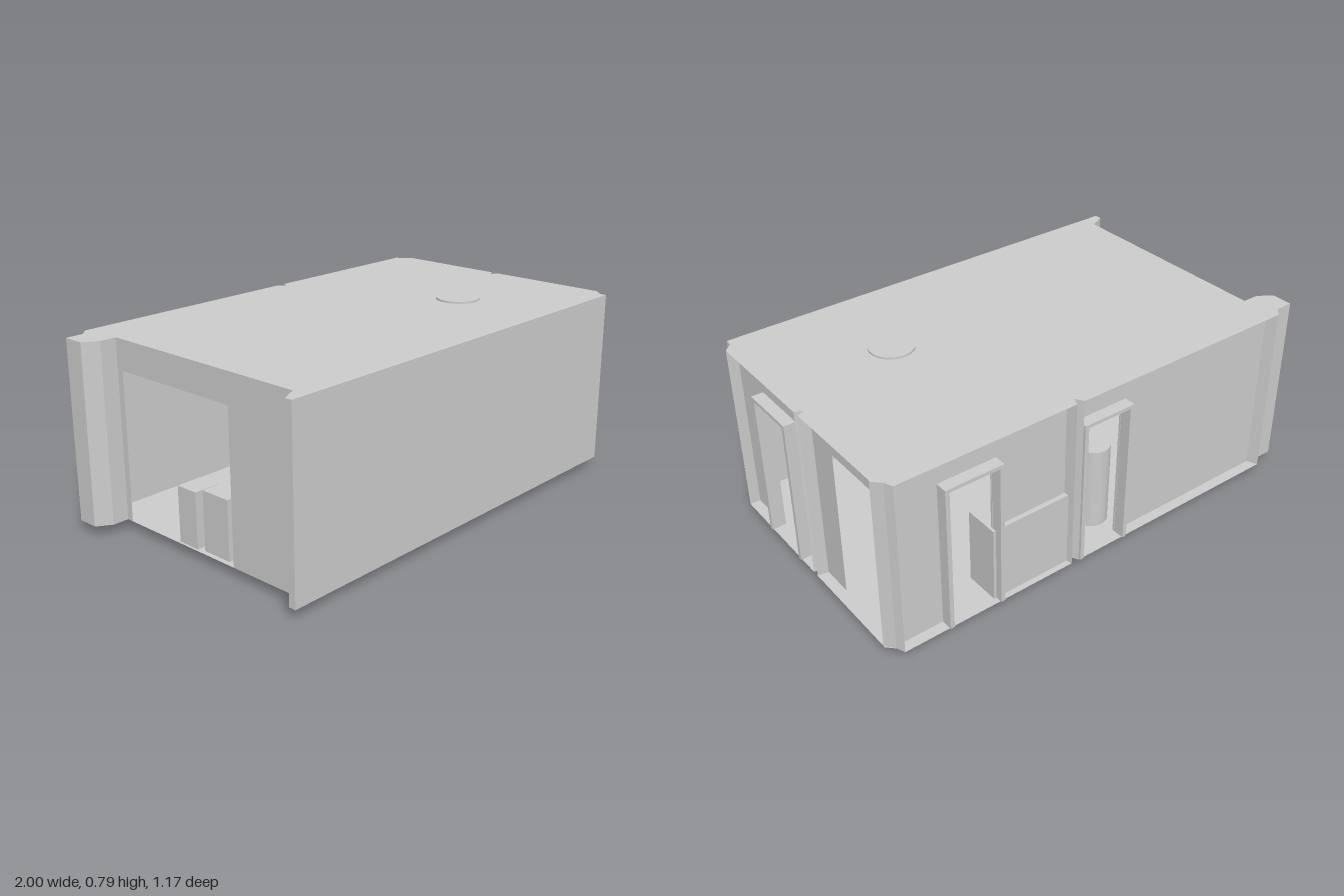
import * as THREE from 'three';

const FLOOR = 0.04, CEIL = 0.785, DOOR = 0.66;

export function createModel() {
  const model = new THREE.Group();
  const mat = new THREE.MeshStandardMaterial({ color: 0xcccccc, side: THREE.DoubleSide });

  const add = (name, geometry, parent = model) => {
    const mesh = new THREE.Mesh(geometry, mat);
    mesh.name = name;
    parent.add(mesh);
    return mesh;
  };
  // Box given by its extents
  const box = (name, x0, x1, y0, y1, z0, z1, parent) => {
    const mesh = add(name, new THREE.BoxGeometry(x1 - x0, y1 - y0, z1 - z0), parent);
    mesh.position.set((x0 + x1) / 2, (y0 + y1) / 2, (z0 + z1) / 2);
    return mesh;
  };
  // Thin upright wall from a to b along x or z, with gaps that reach the floor
  const wall = (name, axis, at, a, b, gaps = []) => {
    const s = new THREE.Shape();
    s.moveTo(a, FLOOR);
    for (const [g0, g1, top] of gaps) {
      s.lineTo(g0, FLOOR); s.lineTo(g0, top); s.lineTo(g1, top); s.lineTo(g1, FLOOR);
    }
    s.lineTo(b, FLOOR); s.lineTo(b, CEIL); s.lineTo(a, CEIL);
    const g = new THREE.ShapeGeometry(s);
    if (axis === 'z') g.rotateY(-Math.PI / 2).translate(at, 0, 0);
    else g.translate(0, 0, at);
    return add(name, g);
  };
  // Folded strip of wall following plan points [x, z]
  const folded = (name, pts) => {
    const pos = [], idx = [];
    pts.slice(1).forEach((q, i) => {
      const p = pts[i], n = i * 4;
      pos.push(p[0], FLOOR, p[1], q[0], FLOOR, q[1], q[0], CEIL, q[1], p[0], CEIL, p[1]);
      idx.push(n, n + 1, n + 2, n, n + 2, n + 3);
    });
    const g = new THREE.BufferGeometry();
    g.setAttribute('position', new THREE.Float32BufferAttribute(pos, 3));
    g.setIndex(idx);
    g.computeVertexNormals();
    return add(name, g);
  };

  // Floor and ceiling share one plan with chamfered corners and two notches
  const plan = [
    [-0.94, 0.585], [0.955, 0.585], [0.955, 0.555], [0.99, 0.52],
    [0.99, -0.01], [0.955, -0.025], [0.99, -0.04], [0.99, -0.52],
    [0.96, -0.55], [0.945, -0.585], [0.17, -0.585], [0.155, -0.55], [0.135, -0.585],
    [-0.89, -0.585], [-0.925, -0.55], [-1, -0.55], [-1, -0.46], [-0.94, -0.42],
    [-0.87, -0.42], [-0.87, 0.52], [-0.94, 0.555],
  ];
  for (const [name, y] of [['floor', FLOOR], ['ceiling', CEIL]]) {
    const shape = new THREE.Shape(plan.map(([x, z]) => new THREE.Vector2(x, -z)));
    add(name, new THREE.ShapeGeometry(shape).rotateX(-Math.PI / 2).translate(0, y, 0));
  }

  // Walls
  const rightX = 0.945, backZ = -0.54;
  wall('frontWall', 'x', 0.585, -0.94, 0.955);
  wall('sideWall', 'z', rightX, -0.51, 0.52, [[-0.48, -0.18, 0.675], [0.1, 0.315, DOOR]]);
  wall('backWall', 'x', backZ, -0.89, 0.945, [[-0.09, 0.11, DOOR], [0.52, 0.73, DOOR]]);
  wall('openEndWall', 'z', -0.87, -0.42, 0.52, [[-0.39, 0.2, DOOR]]);

  // Corner columns
  folded('frontSideCorner', [[0.955, 0.585], [0.955, 0.555], [0.99, 0.52], [rightX, 0.52]]);
  folded('backSideCorner', [[rightX, -0.51], [0.99, -0.51], [0.96, -0.55], [0.945, -0.585], [0.925, backZ]]);
  folded('backEndColumn', [[-0.87, backZ], [-0.89, -0.585], [-0.925, -0.55], [-1, -0.55],
    [-1, -0.46], [-0.94, -0.42], [-0.87, -0.42]]);
  folded('frontEndCorner', [[-0.87, 0.52], [-0.94, 0.555], [-0.94, 0.585]]);

  // Grooved pilasters at the notches
  folded('sidePilaster', [[rightX, 0], [0.99, -0.01], [0.955, -0.025], [0.99, -0.04], [rightX, -0.045]]);
  folded('backPilaster', [[0.18, backZ], [0.17, -0.585], [0.155, -0.55], [0.135, -0.585], [0.125, backZ]]);

  // Door frames standing proud of the walls
  const frame = (name, put, a, b) => {
    const g = new THREE.Group();
    g.name = name;
    model.add(g);
    put(g, 'jamb', a, a + 0.018, FLOOR, 0.675);
    put(g, 'jamb', b - 0.018, b, FLOOR, 0.675);
    put(g, 'lintel', a, b, DOOR, 0.675);
  };
  const onBack = (g, n, a, b, y0, y1) => box(n, a, b, y0, y1, -0.59, backZ + 0.01, g);
  const onSide = (g, n, a, b, y0, y1) => box(n, rightX - 0.01, 0.995, y0, y1, a, b, g);
  frame('backDoorFrameA', onBack, 0.5, 0.75);
  frame('backDoorFrameB', onBack, -0.11, 0.13);
  frame('sideDoorFrame', onSide, 0.08, 0.332);

  // Furniture
  box('backCabinet', 0.1, 0.53, FLOOR, 0.365, -0.56, -0.41);
  box('smallBox', 0.2, 0.4, FLOOR, 0.24, -0.41, -0.365);
  box('lowBoxA', -0.86, -0.75, FLOOR, 0.27, -0.11, -0.01);
  box('lowBoxB', -0.85, -0.68, FLOOR, 0.285, 0.02, 0.155);
  const bench = box('tiltedBench', -0.72, 0.1, 0.02, 0.27, 0.16, 0.43);
  bench.rotation.z = 0.05;
  box('hangingBox', 0.7, 0.82, 0.53, CEIL, 0.02, 0.125);

  // Round lamp through the ceiling and a round stand by the back door
  const drum = (name, r, y0, y1, x, z) =>
    add(name, new THREE.CylinderGeometry(r, r, y1 - y0, 32)).position.set(x, (y0 + y1) / 2, z);
  drum('ceilingLamp', 0.092, 0.65, 0.793, 0.475, 0.155);
  drum('roundStand', 0.068, 0.1, 0.46, -0.03, -0.46);

  // Settle the tilted bench's lowest corner on the ground
  model.updateMatrixWorld(true);
  bench.position.y -= new THREE.Box3().setFromObject(bench, true).min.y;
  return model;
}
